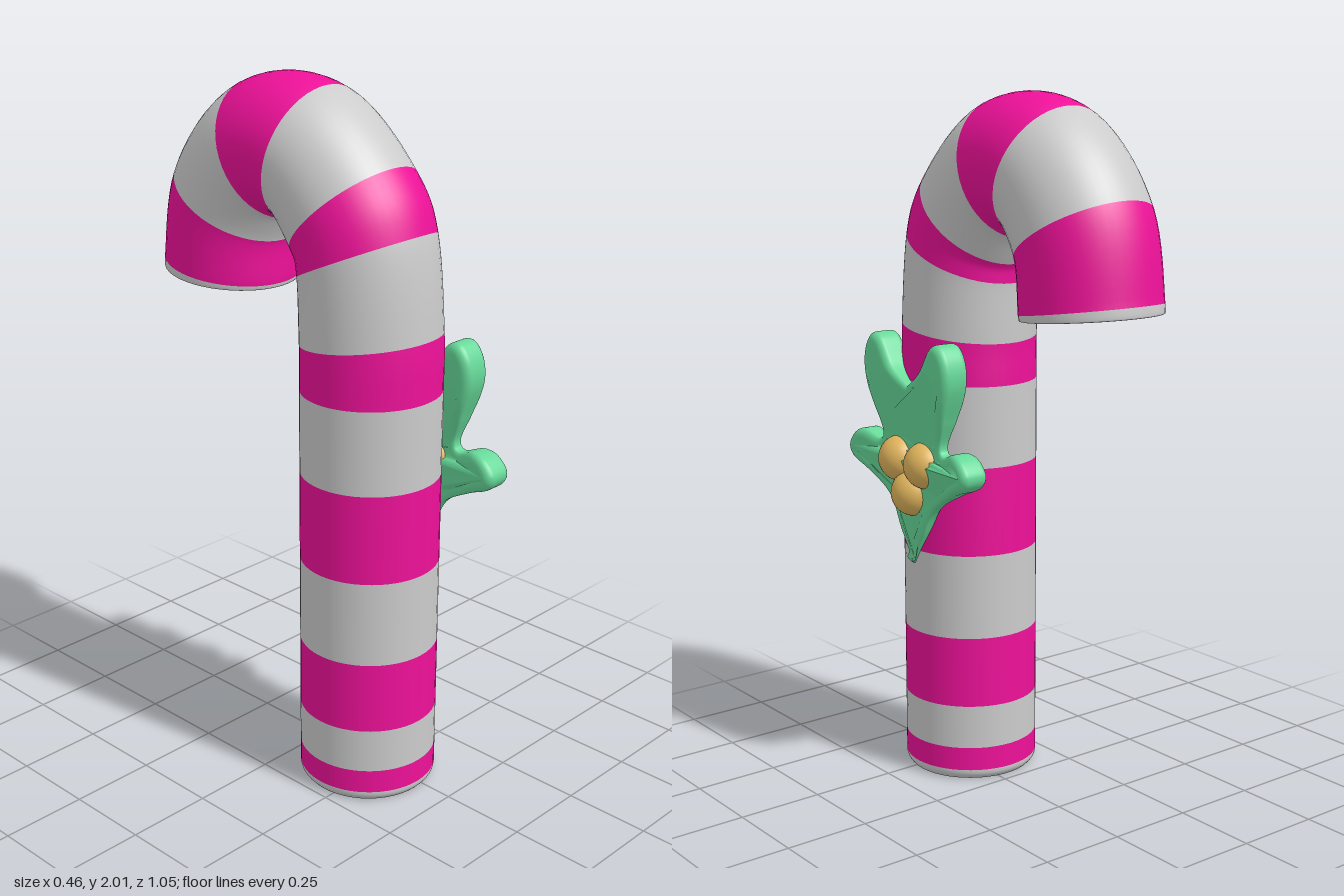
import * as THREE from 'three';
import { ParametricGeometry } from 'three/addons/geometries/ParametricGeometry.js';
import { mergeVertices } from 'three/addons/utils/BufferGeometryUtils.js';

const RADIUS = 0.197, CANE_X = -0.036, BEVEL = 0.07;

// Stripe boundaries along the cane: centre z, centre y, tilt of the cut in degrees
const CUTS = [
  [0.215, 0, 0], [0.215, 0.03, 0], [0.215, 0.1, 0], [0.215, 0.23, 0], [0.215, 0.44, 0],
  [0.215, 0.69, 0], [0.215, 0.95, 0], [0.215, 1.19, 1], [0.214, 1.335, 8],
  [0.195, 1.56, 24.6], [0.145, 1.67, 44], [0.003, 1.8, 76], [-0.162, 1.793, 113],
  [-0.292, 1.64, 150], [-0.326, 1.443, 172], [-0.328, 1.423, 175],
];

export function createModel() {
  const model = new THREE.Group();
  const mat = (color) => new THREE.MeshStandardMaterial({ color });
  const grey = mat(0xcccccc), pink = mat(0xee1199), green = mat(0x66d898), gold = mat(0xe0b45c);
  const add = (name, geometry, material) => {
    const mesh = new THREE.Mesh(geometry, material);
    mesh.name = name;
    model.add(mesh);
    return mesh;
  };

  // Cane: one swept band per stripe, grey and pink in turn
  const last = CUTS.length - 1;
  const spine = new THREE.CatmullRomCurve3(
    CUTS.map(([z, y, tilt]) => new THREE.Vector3(z, y, THREE.MathUtils.degToRad(tilt))),
    false, 'catmullrom', 0.5);
  const section = new THREE.Vector3();
  for (let i = 0; i < last; i++) {
    const surface = (u, v, target) => {
      spine.getPoint((i + v) / last, section);
      const edge = i === 0 ? 1 - v : i === last - 1 ? v : 0;
      const r = RADIUS * (1 - BEVEL * edge * edge);
      const a = u * Math.PI * 2;
      const out = r * Math.cos(a);
      target.set(CANE_X + r * Math.sin(a),
        section.y + out * Math.sin(section.z),
        section.x + out * Math.cos(section.z));
    };
    add(i % 2 ? 'pinkStripe' : 'greyStripe', new ParametricGeometry(surface, 48, 8), i % 2 ? pink : grey);
  }

  // Flat pink discs closing both ends
  for (const [i, name] of [[0, 'bottomCap'], [last, 'hookCap']]) {
    const [z, y, tilt] = CUTS[i];
    const cap = add(name, new THREE.CircleGeometry(RADIUS * (1 - BEVEL), 48), pink);
    cap.position.set(CANE_X, y, z);
    cap.rotation.x = THREE.MathUtils.degToRad(i === 0 ? 90 - tilt : -90 - tilt);
  }

  // Leaves: mirrored outline, sharp at the bottom tip and the top notch
  const half = [
    [-0.055, 0.74], [-0.11, 0.83], [-0.21, 0.89], [-0.285, 0.925], [-0.302, 0.965],
    [-0.27, 1.005], [-0.225, 1.017], [-0.165, 0.998], [-0.147, 1.025], [-0.175, 1.1],
    [-0.21, 1.2], [-0.205, 1.27], [-0.17, 1.315], [-0.125, 1.305], [-0.07, 1.23],
  ];
  const tip = [0, 0.65], notch = [0, 1.18];
  const vec = ([x, y]) => new THREE.Vector2(x, y);
  const outline = new THREE.Shape();
  outline.moveTo(...tip);
  outline.splineThru([...[...half].reverse().map(([x, y]) => [-x, y]).reverse(), notch].map(vec));
  outline.splineThru([...[...half].reverse(), tip].map(vec));
  let leaf = new THREE.ExtrudeGeometry(outline, {
    depth: 1, curveSegments: 60, steps: 1,
    bevelEnabled: true, bevelThickness: 0.5, bevelSize: 0.026, bevelOffset: -0.026, bevelSegments: 6,
  });
  // Leaf thickness: thin in the middle and at the bottom tip, plump at the lobes
  const p = leaf.attributes.position;
  for (let i = 0; i < p.count; i++) {
    const x = p.getX(i), y = p.getY(i);
    const plump = THREE.MathUtils.smoothstep(Math.hypot(x, y - 0.95), 0.12, 0.29)
      * THREE.MathUtils.smoothstep(y, 0.66, 0.92);
    p.setZ(i, (p.getZ(i) - 0.5) * (0.018 + 0.028 * plump) + 0.157 + 0.025 * x);
  }
  leaf.deleteAttribute('normal');
  leaf.deleteAttribute('uv');
  leaf = mergeVertices(leaf, 1e-4);
  leaf.computeVertexNormals();
  const leaves = add('leaves', leaf, green);
  leaves.rotation.y = Math.PI / 2;
  leaves.position.z = 0.222;

  // Three berries
  for (const [y, z] of [[0.955, 0.284], [0.955, 0.158], [0.863, 0.222]]) {
    add('berry', new THREE.SphereGeometry(0.069, 24, 16), gold).position.set(0.162, y, z);
  }
  return model;
}
